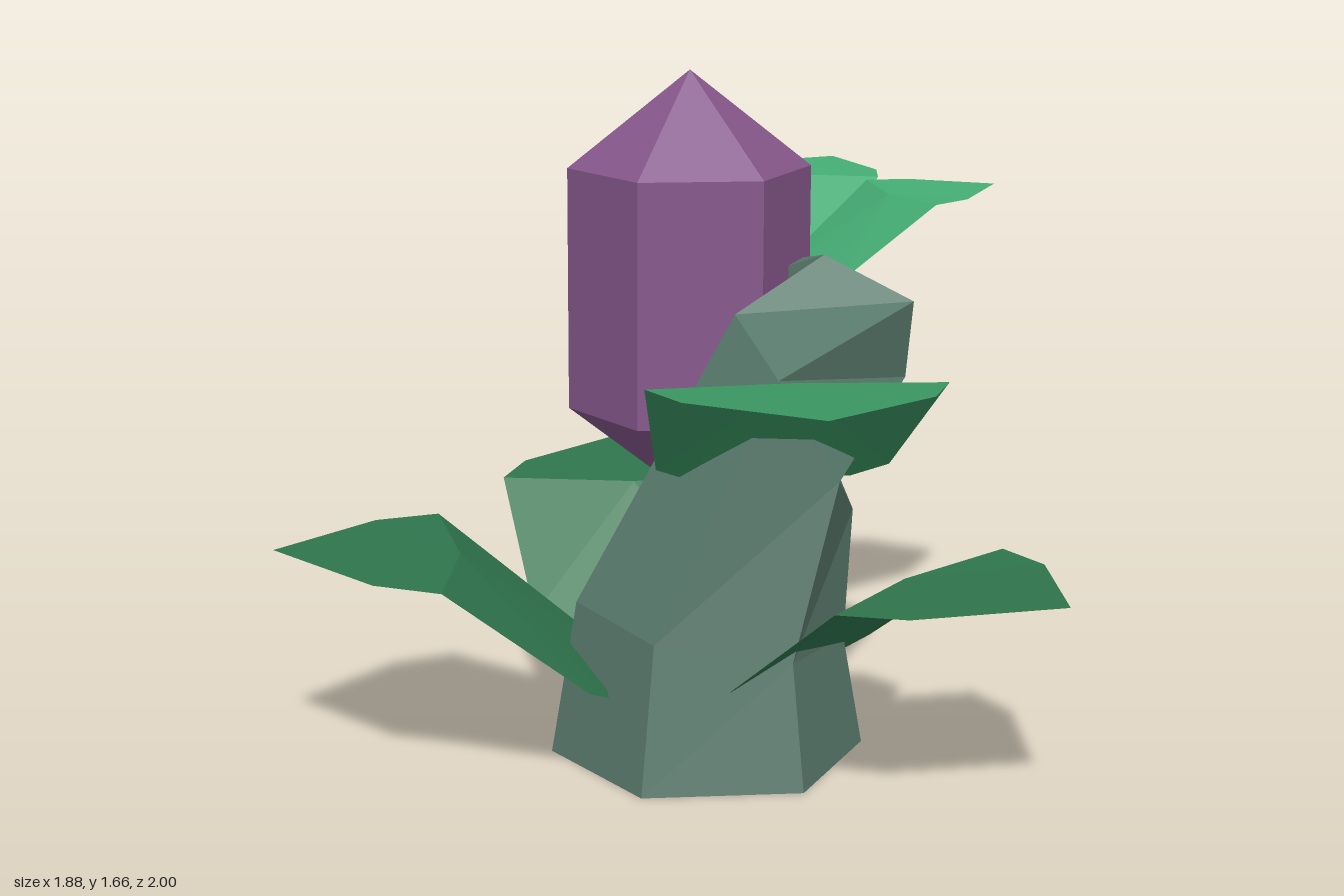
import * as THREE from 'three';

const material = (color, side = THREE.FrontSide) =>
  new THREE.MeshStandardMaterial({ color, flatShading: true, side });

// Builds a geometry from points [x, y, z] and triangles of point indices
function fromFaces(points, faces) {
  const geometry = new THREE.BufferGeometry();
  geometry.setAttribute('position', new THREE.Float32BufferAttribute(points.flat(), 3));
  geometry.setIndex(faces.flat());
  const flat = geometry.toNonIndexed();
  flat.computeVertexNormals();
  return flat;
}

// Hexagonal loop: centre plus two half-axes, starting on axis u and turning to axis v
function hexRing(c, u, v) {
  return Array.from({ length: 6 }, (_, i) => {
    const a = (i * Math.PI) / 3;
    return c.map((k, j) => k + u[j] * Math.cos(a) + v[j] * Math.sin(a));
  });
}

// Skins a row of six-sided loops and closes both ends
function loft(rings) {
  const n = 6, faces = [];
  for (let r = 0; r < rings.length - 1; r++) {
    for (let i = 0; i < n; i++) {
      const a = r * n + i, b = r * n + ((i + 1) % n);
      faces.push([a, a + n, b], [b, a + n, b + n]);
    }
  }
  const end = (rings.length - 1) * n;
  for (let i = 1; i < n - 1; i++) {
    faces.push([0, i, i + 1], [end, end + i + 1, end + i]);
  }
  return fromFaces(rings.flat(), faces);
}

// Leaf that climbs from its base, creases at the middle and runs flat to a point
function leaf(name, color, base, dx, dz, scale = 1) {
  const len = Math.hypot(dx, dz);
  // each entry: distance outwards, half-width, height
  const outline = [
    [0.05, -0.285, 0.04], [0, -0.2, 0], [0, 0.2, 0], [0.05, 0.285, 0.04],
    [0.4, -0.35, 0.32], [0.35, 0, 0.315], [0.4, 0.35, 0.32],
    [0.56, -0.285, 0.325], [0.56, 0.285, 0.325], [0.805, 0, 0.335],
  ];
  const faces = [
    [0, 4, 5], [0, 5, 1], [1, 5, 2], [2, 5, 3], [3, 5, 6],
    [4, 7, 5], [7, 9, 5], [9, 8, 5], [8, 6, 5],
  ];
  const points = outline.map(([s, w, h]) => [
    ((s * dx - w * dz) / len) * scale,
    h * scale,
    ((s * dz + w * dx) / len) * scale,
  ]);
  const mesh = new THREE.Mesh(fromFaces(points, faces), material(color, THREE.DoubleSide));
  mesh.position.set(...base);
  mesh.name = name;
  return mesh;
}

export function createModel() {
  const model = new THREE.Group();
  model.name = 'crystalPlant';

  // Hooked stem: rises, leans back and curls round behind the crystal
  const stem = new THREE.Mesh(loft([
    hexRing([0.133, 0, 0.12], [0.392, 0, 0], [0, 0, 0.393]),
    hexRing([0.14, 0.335, 0.12], [0.335, -0.055, 0], [0, 0, 0.325]),
    hexRing([0.35, 0.85, 0.08], [0.15, -0.25, 0], [0, 0.015, 0.29]),
    hexRing([0.43, 1.02, -0.1], [-0.01, -0.2, -0.04], [0.25, -0.005, 0.13]),
    hexRing([0.335, 1.03, -0.48], [0, -0.1, -0.015], [0.1, 0, -0.075]),
    hexRing([0.19, 1.055, -0.59], [0, -0.045, 0], [0.012, 0, -0.046]),
    hexRing([-0.015, 1.05, -0.525], [0, -0.028, 0], [-0.01, 0, -0.028]),
  ]), material(0x58786b));
  stem.name = 'stem';
  model.add(stem);

  // Six-sided crystal with a point at each end
  const profile = [[0, 0.56], [0.31, 0.8], [0.31, 1.42], [0, 1.665]]
    .map(([r, y]) => new THREE.Vector2(r, y));
  const crystal = new THREE.Mesh(
    new THREE.LatheGeometry(profile, 6, Math.PI / 2), material(0x85578a));
  crystal.position.set(0.12, 0, -0.235);
  crystal.name = 'crystal';
  model.add(crystal);

  // Lower leaves
  model.add(
    leaf('rightLeaf', 0x2f754d, [-0.13, 0.21, 0.13], -1, 0),
    leaf('backLeaf', 0x2f754d, [0, 0.21, -0.17], 0, -1),
    leaf('frontLeftLeaf', 0x2f754d, [0.32, 0.21, 0.19], 1, 1),
  );

  // Middle leaf
  model.add(leaf('frontLeaf', 0x3b9663, [0.275, 0.715, 0.19], 0.02, 1));

  // Small upper leaves
  model.add(
    leaf('upperBackLeaf', 0x45ad75, [0.346, 1.115, -0.54], 0.49, -0.87, 0.66),
    leaf('upperSideLeaf', 0x45ad75, [0.43, 1.115, -0.32], 0.975, -0.22, 0.66),
  );
  return model;
}
